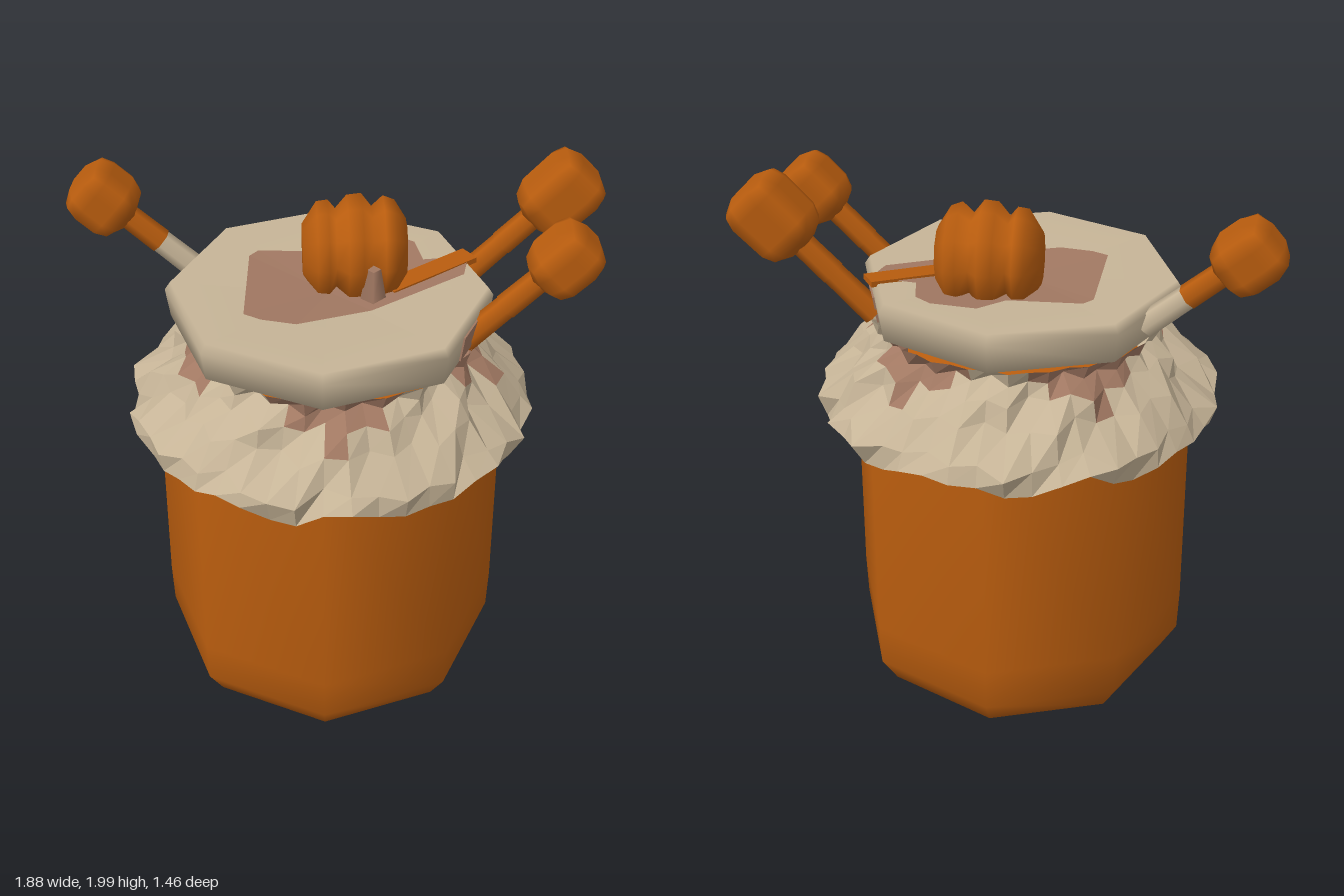
import * as THREE from 'three';
import { RoundedBoxGeometry } from 'three/addons/geometries/RoundedBoxGeometry.js';

const V = (x, y, z) => new THREE.Vector3(x, y, z);

export function createModel() {
  const model = new THREE.Group();
  const mat = (name, color, side = THREE.FrontSide) => {
    const m = new THREE.MeshStandardMaterial({ color, side });
    m.name = name;
    return m;
  };
  const honey = mat('honey orange', 0xb85c0e);
  const cloth = mat('beige cloth', 0xc6b497, THREE.DoubleSide);
  const stain = mat('brown stain', 0xa17862, THREE.DoubleSide);

  const add = (name, geo, material, parent = model) => {
    const mesh = new THREE.Mesh(geo, material);
    mesh.name = name;
    parent.add(mesh);
    return mesh;
  };
  const lathe = (pts, sides) =>
    new THREE.LatheGeometry(pts.map(([r, y]) => new THREE.Vector2(r, y)), sides);
  const surface = (pos) => {
    const g = new THREE.BufferGeometry();
    g.setAttribute('position', new THREE.Float32BufferAttribute(pos, 3));
    g.computeVertexNormals();
    return g;
  };

  // Octagonal jar with a bevelled foot and a shoulder hidden by the cloth
  const jar = add('jar', lathe([[0, 0.01], [0.46, 0.005], [0.565, 0.04], [0.625, 0.14], [0.63, 0.3],
    [0.622, 1.2], [0.54, 1.26], [0.42, 1.38], [0, 1.4]], 8), honey);
  jar.position.set(-0.012, 0, 0.015);

  // Cloth lid: side band and sunken top
  const lid = new THREE.Group();
  lid.name = 'lid';
  lid.position.set(-0.015, 0, 0.01);
  model.add(lid);
  add('lidBand', lathe([[0.48, 1.46], [0.555, 1.475], [0.57, 1.58], [0.55, 1.61], [0, 1.575]], 8), cloth, lid);

  // Stained patch lying on the lid, a fan around its centre
  const outline = [[-0.1, 0.24], [0.15, 0.14], [0.47, -0.08], [0.49, -0.2], [0.33, -0.19], [0.3, -0.31],
    [0.24, -0.35], [0.08, -0.35], [0, -0.25], [-0.26, -0.24], [-0.29, -0.2], [-0.28, 0.19], [-0.22, 0.22]];
  const onLid = ([x, z]) => [x, 1.58 + 0.035 * Math.hypot(x, z) / 0.508, z];
  add('lidStain', surface(outline.flatMap((p, i) =>
    [...onLid([0, 0]), ...onLid(p), ...onLid(outline[(i + 1) % outline.length])])), stain, lid);

  // Stains on the band beneath the dippers
  for (const a of [-1, 1]) {
    const t = a * Math.PI / 8;
    const plate = add('bandStain', new THREE.BoxGeometry(0.008, 0.095, 0.15), stain, lid);
    plate.position.set(0.522 * Math.cos(t), 1.527, 0.522 * Math.sin(t));
    plate.rotation.set(0, -t, -0.13, 'YXZ');
  }

  // Gathered neck and ruffled skirt, rows running from hem to lid
  const COLS = 48;
  const wave = (a) => 0.65 * Math.sin(9 * a + 0.31) + 0.35 * Math.sin(14 * a + 1);
  const rows = [[0.71, 1.13, 0.025, 0.05], [0.695, 1.2, -0.04, 0.025], [0.595, 1.295, 0.035, 0.02],
    [0.53, 1.365, -0.03, 0.012], [0.48, 1.415, 0.015, 0.008], [0.515, 1.465, 0.008, 0]];
  const point = (r, c) => {
    const a = (c % COLS) / COLS * Math.PI * 2;
    const [rad, y, dr, dy] = rows[r];
    const pleat = (c % 2 ? 1 : -1) * (r > 0 && r < 5 ? 0.014 : 0.004);
    const R = rad + dr * wave(a + r * 0.06) + pleat;
    return [R * Math.sin(a) - 0.01, y + dy * wave(a) - pleat * 0.5, R * Math.cos(a)];
  };
  const isStained = (r, c) => {
    const s = Math.sin(c / COLS * Math.PI * 2 * 5 + 1.5);
    return r === 4 ? s > -0.5 : r === 3 ? s > 0 : r === 2 && s > 0.95;
  };
  const skirt = (wanted) => {
    const pos = [];
    for (let r = 0; r < rows.length - 1; r++) {
      for (let c = 0; c < COLS; c++) {
        if (isStained(r, c) !== wanted) continue;
        const [a, b, d, e] = [point(r, c), point(r, c + 1), point(r + 1, c + 1), point(r + 1, c)];
        pos.push(...a, ...b, ...d, ...a, ...d, ...e);
      }
    }
    return surface(pos);
  };
  add('skirt', skirt(false), cloth);
  add('neckStain', skirt(true), stain);

  // Ridged bulb lying on the lid
  const bulb = add('ridgedBulb', lathe([[0, -0.18], [0.09, -0.18], [0.165, -0.13], [0.17, -0.09], [0.14, -0.065],
    [0.185, -0.025], [0.19, 0.025], [0.145, 0.06], [0.18, 0.1], [0.165, 0.14], [0.1, 0.18], [0, 0.18]], 10), honey);
  bulb.position.set(0.07, 1.695, -0.1);
  bulb.rotation.set(0, 0.08, -Math.PI / 2, 'YXZ');
  const tip = add('clothTip', new THREE.CylinderGeometry(0.025, 0.045, 0.12, 4), stain);
  tip.position.set(0.14, 1.645, 0.065);

  // Honey streak running from the bulb to the rear dipper
  const streak = add('honeyStreak', new THREE.BoxGeometry(0.36, 0.02, 0.08), honey);
  streak.position.set(0.335, 1.602, -0.1);
  streak.rotation.set(0, 0.63, 0.05, 'YXZ');

  // Dippers leaning outwards: a thin stick with a chunky chamfered head
  const dipper = (name, foot, head, size, footMaterial) => {
    const group = new THREE.Group();
    group.name = name;
    const dir = head.clone().sub(foot);
    const length = dir.length();
    group.position.copy(foot);
    group.quaternion.setFromUnitVectors(V(0, 1, 0), dir.normalize());
    const split = length * 0.42;
    const stick = (label, from, to, material) => {
      const rod = add(label, new THREE.CylinderGeometry(0.042, 0.045, to - from, 6), material, group);
      rod.position.y = (from + to) / 2;
    };
    stick('lowerStick', 0, split, footMaterial);
    stick('upperStick', split, length, honey);
    const knob = add('head', new RoundedBoxGeometry(...size, 1, 0.075), honey, group);
    knob.position.y = length;
    // Narrow the end of the head that meets the stick
    const p = knob.geometry.attributes.position;
    for (let i = 0; i < p.count; i++) {
      const k = 1 + 0.9 * Math.min(0, p.getY(i) + 0.04);
      p.setXYZ(i, p.getX(i) * k, p.getY(i), p.getZ(i) * k);
    }
    model.add(group);
  };
  dipper('rightDipper', V(-0.48, 1.53, -0.2), V(-0.81, 1.815, -0.215), [0.22, 0.23, 0.23], cloth);
  dipper('leftRearDipper', V(0.45, 1.5, -0.23), V(0.785, 1.84, -0.25), [0.24, 0.28, 0.225], honey);
  dipper('leftFrontDipper', V(0.45, 1.48, 0.15), V(0.77, 1.8, 0.14), [0.21, 0.24, 0.225], honey);

  return model;
}
